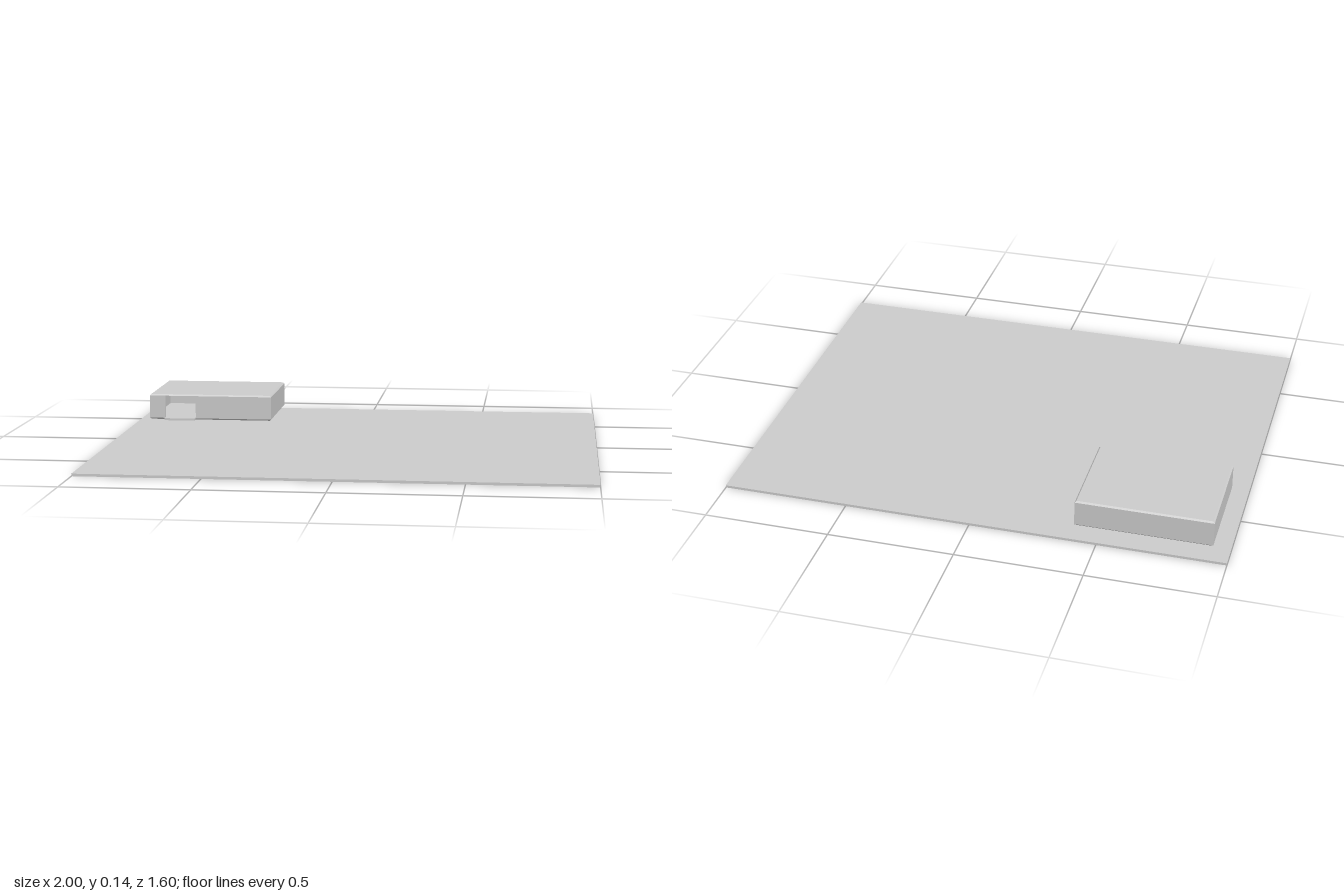
import * as THREE from 'three';

const material = new THREE.MeshStandardMaterial({ color: 0xcccccc, flatShading: true });

function add(group, name, geometry, x, y, z) {
  const mesh = new THREE.Mesh(geometry, material);
  mesh.name = name;
  mesh.position.set(x, y, z);
  group.add(mesh);
  return mesh;
}

// Thin slab whose upper (side = 1) or lower (side = -1) face is drawn in by a bevel
function beveledSlab(width, height, depth, bevel, side) {
  const geometry = new THREE.BoxGeometry(width, height, depth);
  const p = geometry.attributes.position;
  for (let i = 0; i < p.count; i++) {
    if (p.getY(i) * side > 0) {
      p.setX(i, p.getX(i) - Math.sign(p.getX(i)) * bevel);
      p.setZ(i, p.getZ(i) - Math.sign(p.getZ(i)) * bevel);
    }
  }
  geometry.computeVertexNormals();
  return geometry;
}

export function createModel() {
  const model = new THREE.Group();

  // Ground plate
  add(model, 'basePlate', new THREE.BoxGeometry(2, 0.01, 1.6), 0, 0.005, 0);

  // Hollow building in the back right corner
  const building = new THREE.Group();
  building.name = 'building';
  model.add(building);
  const left = -0.936, right = -0.4, back = -0.737, front = -0.329;
  const doorLeft = -0.867, doorRight = -0.733, wall = 0.01;
  const bottom = 0.03, top = 0.14, rim = 0.006;
  const width = right - left, depth = front - back;
  const cx = (left + right) / 2, cz = (front + back) / 2;

  // Walls: one outline open at the doorway, drawn in x and -z and raised upward
  const outline = [
    [doorRight, front], [right, front], [right, back], [left, back],
    [left, front], [doorLeft, front], [doorLeft, front - wall],
    [left + wall, front - wall], [left + wall, back + wall],
    [right - wall, back + wall], [right - wall, front - wall],
    [doorRight, front - wall],
  ].map(([x, z]) => new THREE.Vector2(x, -z));
  const walls = new THREE.ExtrudeGeometry(new THREE.Shape(outline), {
    depth: top - bottom - 2 * rim, bevelEnabled: false,
  });
  walls.rotateX(-Math.PI / 2);
  add(building, 'walls', walls, 0, bottom + rim, 0);

  // Floor and roof close the walls with beveled edges
  add(building, 'floor', beveledSlab(width, rim, depth, rim, -1), cx, bottom + rim / 2, cz);
  add(building, 'roof', beveledSlab(width, rim, depth, rim, 1), cx, top - rim / 2, cz);

  // Doorstep in front of the opening
  const stepFront = -0.302, stepBack = front - wall;
  add(building, 'doorstep',
    new THREE.BoxGeometry(doorRight - doorLeft, 0.009, stepFront - stepBack),
    (doorLeft + doorRight) / 2, bottom + 0.0045, (stepFront + stepBack) / 2);

  return model;
}
